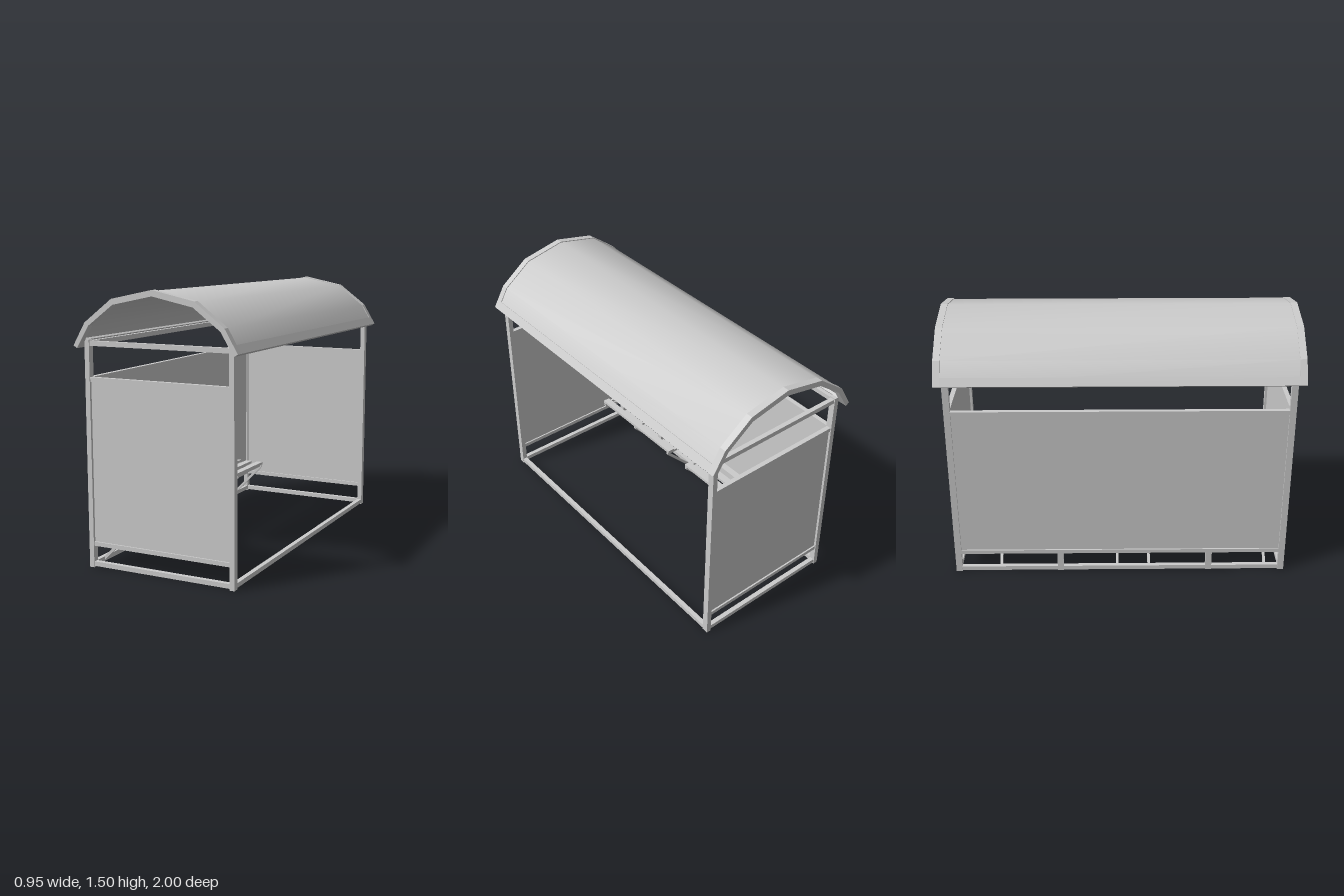
import * as THREE from 'three';
import { toCreasedNormals } from 'three/addons/utils/BufferGeometryUtils.js';

const grey = new THREE.MeshStandardMaterial({ color: 0xcccccc });

// Half profile of the arched roof: outer and inner corners, apex to eave
const OUTER = [[0, 1.5], [0.24, 1.45], [0.405, 1.325], [0.477, 1.203]];
const INNER = [[0, 1.468], [0.232, 1.42], [0.383, 1.308], [0.455, 1.19]];

export function createModel() {
  const root = new THREE.Group();

  const add = (name, geo, parent = root) => {
    const m = new THREE.Mesh(geo, grey);
    m.name = name;
    parent.add(m);
    return m;
  };
  // Box given by its limits on each axis
  const box = (name, x0, x1, y0, y1, z0, z1, parent) => {
    const m = add(name, new THREE.BoxGeometry(x1 - x0, y1 - y0, z1 - z0), parent);
    m.position.set((x0 + x1) / 2, (y0 + y1) / 2, (z0 + z1) / 2);
    return m;
  };
  // Square bar in an x-y plane between two points
  const strut = (name, x0, y0, x1, y1, z, t, parent) => {
    const m = add(name, new THREE.BoxGeometry(Math.hypot(x1 - x0, y1 - y0), t, t), parent);
    m.position.set((x0 + x1) / 2, (y0 + y1) / 2, z);
    m.rotation.z = Math.atan2(y1 - y0, x1 - x0);
    return m;
  };

  // Corner posts
  for (const sx of [-1, 1]) for (const sz of [-1, 1]) {
    const post = add('cornerPost', new THREE.BoxGeometry(0.028, 1.232, 0.036));
    post.position.set(sx * 0.423, 0.616, sz * 0.942);
  }

  // Long rails at floor and eaves
  for (const x of [-0.423, 0.423]) {
    box('floorRail', x - 0.013, x + 0.013, 0.007, 0.032, -0.925, 0.925);
    box('eaveRail', x - 0.012, x + 0.012, 1.2, 1.225, -0.925, 0.925);
  }

  // End walls: cross rails and thin panel
  for (const s of [-1, 1]) {
    const z = s * 0.942;
    for (const [name, y0, y1] of [['endFloorRail', 0.007, 0.032], ['endTopRail', 1.2, 1.226],
      ['panelLowerRail', 0.12, 0.143], ['panelUpperRail', 1.01, 1.035]])
      box(name, -0.41, 0.41, y0, y1, z - 0.013, z + 0.013);
    box('endPanel', -0.41, 0.41, 0.122, 1.033, z - 0.004, z + 0.004);
  }

  // Back wall
  box('backPanel', -0.427, -0.419, 0.122, 1.033, -0.925, 0.925);
  box('backLowerRail', -0.436, -0.41, 0.12, 0.143, -0.925, 0.925);
  box('backUpperRail', -0.436, -0.41, 1.01, 1.035, -0.925, 0.925);

  // Roof: band of the arch between two fractions of its thickness
  const layer = t => OUTER.map(([x, y], i) =>
    new THREE.Vector2(x + (INNER[i][0] - x) * t, y + (INNER[i][1] - y) * t));
  const whole = half => [...half.slice(1).reverse().map(p => new THREE.Vector2(-p.x, p.y)), ...half];
  const arch = (t0, t1, z0, z1) => {
    const shape = new THREE.Shape([...whole(layer(t0)), ...whole(layer(t1)).reverse()]);
    return new THREE.ExtrudeGeometry(shape, { depth: z1 - z0, bevelEnabled: false }).translate(0, 0, z0);
  };
  add('frontRoofRib', arch(0, 1, 0.962, 1));
  add('backRoofRib', arch(0, 1, -1, -0.962));
  add('roofSheet', toCreasedNormals(arch(0.15, 0.45, -0.962, 0.962), 0.6));

  // Eave bars closing the roof frame
  for (const s of [-1, 1]) {
    const pts = [[0.477, 1.203], [0.455, 1.19], [0.429, 1.232], [0.452, 1.245]];
    const shape = new THREE.Shape(pts.map(([x, y]) => new THREE.Vector2(s * x, y)));
    add('eaveBar', new THREE.ExtrudeGeometry(shape, { depth: 1.924, bevelEnabled: false }).translate(0, 0, -0.962));
  }

  // Two slatted benches on slanting legs
  for (const z of [0.505, -0.36]) {
    const bench = new THREE.Group();
    bench.name = 'bench';
    bench.position.z = z;
    root.add(bench);
    for (const x of [-0.375, -0.295, -0.215])
      box('seatSlat', x - 0.021, x + 0.021, 0.25, 0.267, -0.352, 0.35, bench);
    for (const x of [-0.385, -0.21])
      box('seatBearer', x - 0.007, x + 0.007, 0.238, 0.25, -0.34, 0.348, bench);
    for (const dz of [-0.337, 0.007, 0.343]) {
      strut('slantingLeg', -0.415, 0.018, -0.2, 0.238, dz, 0.015, bench);
      box('seatArm', -0.42, -0.195, 0.236, 0.25, dz - 0.007, dz + 0.007, bench);
    }
    // Short post under the back panel
    box('stubPost', -0.436, -0.41, 0.003, 0.122, -0.006, 0.03, bench);
  }

  return root;
}
